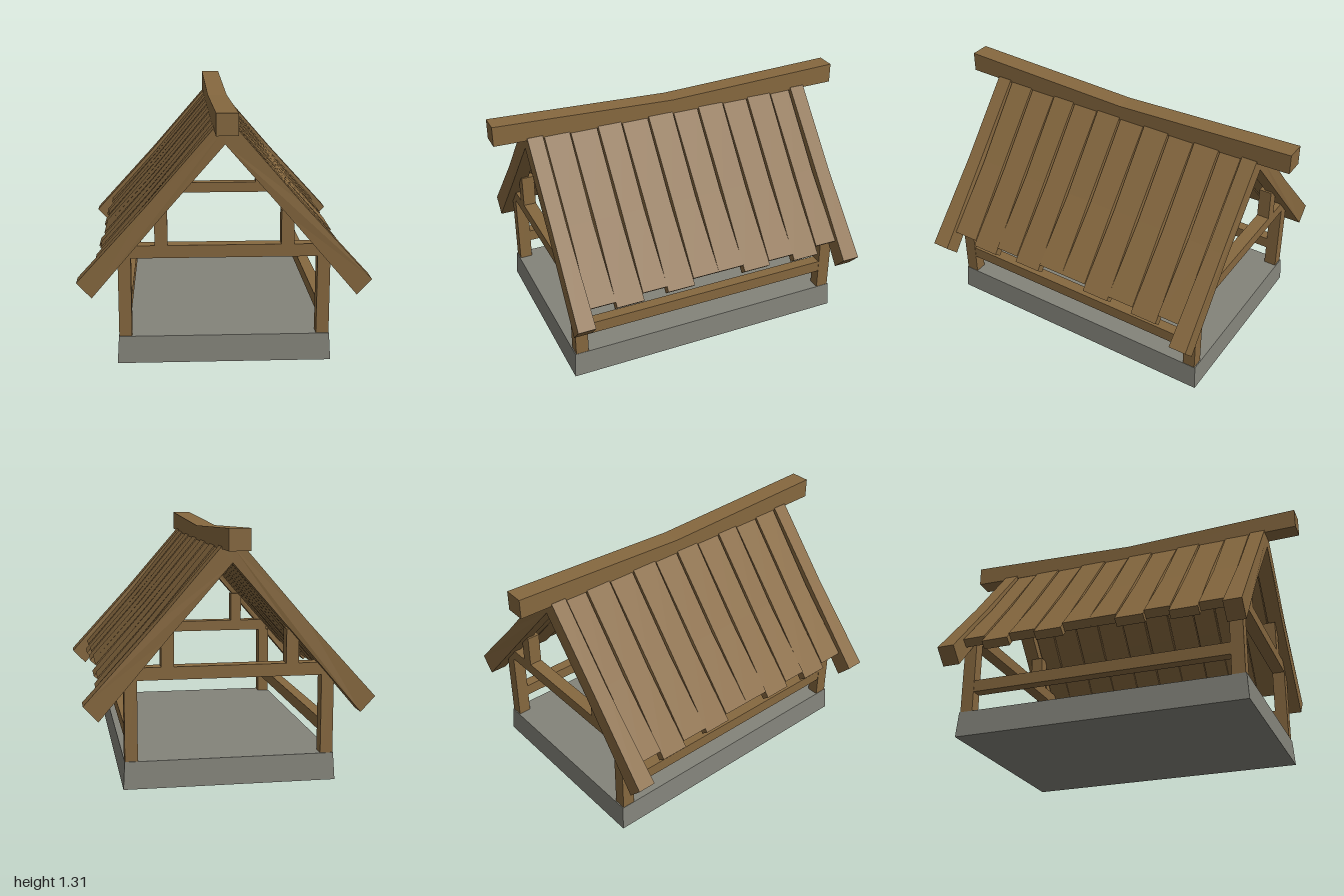
import * as THREE from 'three';

const wood = new THREE.MeshStandardMaterial({ color: 0x86683f, flatShading: true });
const stone = new THREE.MeshStandardMaterial({ color: 0x83837a, flatShading: true });

function add(parent, name, geometry, material = wood) {
  const mesh = new THREE.Mesh(geometry, material);
  mesh.name = name;
  parent.add(mesh);
  return mesh;
}

// Timber given by its limits on each axis
function beam(parent, name, [x0, x1], [y0, y1], [z0, z1]) {
  const mesh = add(parent, name, new THREE.BoxGeometry(Math.abs(x1 - x0), y1 - y0, Math.abs(z1 - z0)));
  mesh.position.set((x0 + x1) / 2, (y0 + y1) / 2, (z0 + z1) / 2);
}

// Moves every vertex of a geometry by a rule
function warp(geometry, rule) {
  const p = geometry.attributes.position;
  const v = new THREE.Vector3();
  for (let i = 0; i < p.count; i++) {
    rule(v.fromBufferAttribute(p, i));
    p.setXYZ(i, v.x, v.y, v.z);
  }
  geometry.computeVertexNormals();
  return geometry;
}

// Sloping board: a profile in x and y, with its width changing from ridge to middle to eave
function board(parent, name, side, profile, z, [top, middle, bottom], midX) {
  const shape = new THREE.Shape(profile.map(([x, y]) => new THREE.Vector2(x * side, y)));
  const geometry = new THREE.ExtrudeGeometry(shape, { depth: 2, bevelEnabled: false });
  geometry.translate(0, 0, -1);
  warp(geometry, v => {
    const t = Math.abs(v.x) / midX;
    const half = t < 1 ? THREE.MathUtils.lerp(top, middle, t)
      : THREE.MathUtils.lerp(middle, bottom, Math.min(1, (t - 1) / 0.7));
    v.z = z + v.z * half;
  });
  add(parent, name, geometry);
}

export function createModel() {
  const model = new THREE.Group();
  model.name = 'shelter';

  // Stone base, slightly narrower at the top
  const base = new THREE.BoxGeometry(1.09, 0.14, 1.59);
  base.translate(0, 0.07, 0);
  add(model, 'base', warp(base, v => {
    if (v.y > 0.1) { v.x *= 0.985; v.z *= 0.988; }
  }), stone);

  // Frame: posts, struts, cross beams and side rails
  const frame = new THREE.Group();
  frame.name = 'frame';
  model.add(frame);
  for (const e of [1, -1]) {
    const ends = [0.71 * e, 0.78 * e];
    beam(frame, 'crossBeam', [-0.52, 0.52], [0.55, 0.615], ends);
    for (const s of [1, -1]) {
      beam(frame, 'post', [0.47 * s, 0.535 * s], [0.13, 0.55], ends);
      beam(frame, 'strut', [0.285 * s, 0.35 * s], [0.615, 0.79], ends);
    }
  }
  for (const s of [1, -1]) {
    beam(frame, 'sideRail', [0.472 * s, 0.533 * s], [0.25, 0.315], [-0.71, 0.71]);
  }

  // Roof: rafters at the gables and uneven planks between them
  const roof = new THREE.Group();
  roof.name = 'roof';
  model.add(roof);
  const rafter = [[0, 1.13], [0.31, 0.775], [0.665, 0.36], [0.74, 0.44], [0.38, 0.835], [0.055, 1.21], [0, 1.21]];
  const edges = [-0.733, -0.608, -0.458, -0.307, -0.153, -0.004, 0.145, 0.298, 0.436, 0.588, 0.733];
  const eaves = [0.642, 0.665, 0.648, 0.66, 0.642, 0.642, 0.66, 0.645, 0.665, 0.65];
  for (const s of [1, -1]) {
    for (const e of [1, -1]) board(roof, 'rafter', s, rafter, 0.78 * e, [0.042, 0.041, 0.048], 0.38);
    eaves.forEach((x, i) => {
      const z = (edges[i] + edges[i + 1]) / 2;
      const half = (edges[i + 1] - edges[i]) / 2;
      const y = 0.515 - (x - 0.642) * 1.75;
      const top = 1.2 + (i % 2) * 0.008;
      const profile = [[0, 1.185], [0.325, 0.797], [x - 0.037, y - 0.032],
        [x, y], [0.36, 0.83], [0.047, top], [0, top]];
      board(roof, 'plank', s, profile, z, [half - 0.003, half - 0.007, half], 0.36);
    });
  }

  // Ridge beam sagging towards the middle
  const ridge = new THREE.BoxGeometry(0.107, 0.108, 2, 1, 1, 2);
  ridge.translate(0, 1.254, 0);
  add(roof, 'ridgeBeam', warp(ridge, v => {
    v.y -= (v.y > 1.25 ? 0.037 : 0.018) * (1 - Math.abs(v.z));
  }));

  return model;
}
